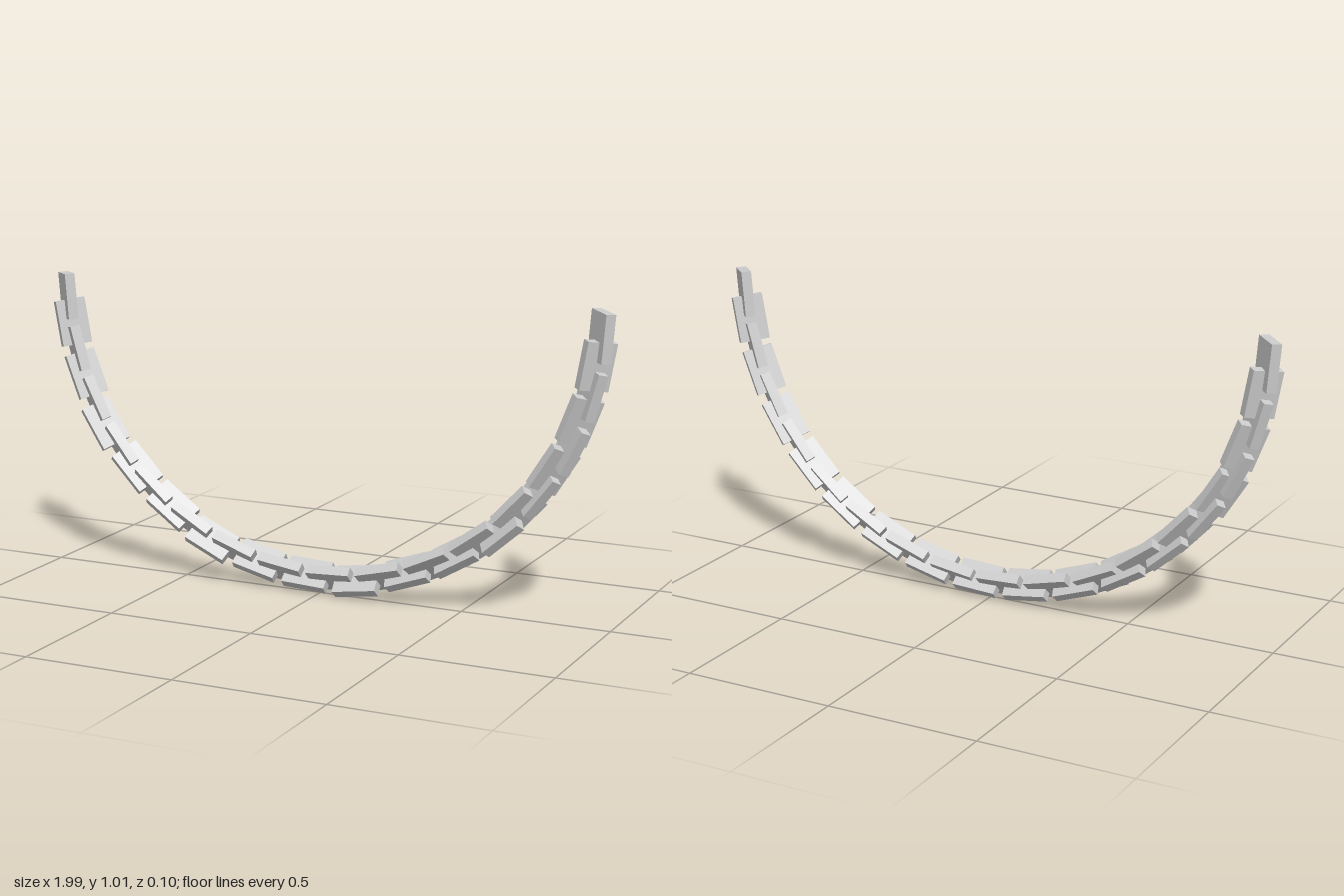
import * as THREE from 'three';

// Half-ring chain of flat plates, each turned a quarter turn from its neighbour
export function createModel() {
  const group = new THREE.Group();
  group.name = 'hangingChain';

  const COUNT = 32, RADIUS = 0.95, END_ANGLE = Math.PI / 2 - 0.08;
  const LENGTH = 0.154, WIDTH = 0.1, THICKNESS = 0.033, SLIDE = 0.005;
  const outward = new Set([4, 8, 14, 20, 26]); // links that hang slightly outward

  const plate = new THREE.BoxGeometry(LENGTH, WIDTH, THICKNESS);
  const material = new THREE.MeshStandardMaterial({ color: 0xcccccc, flatShading: true });

  for (let i = 0; i < COUNT; i++) {
    const angle = END_ANGLE * (1 - (2 * i) / (COUNT - 1));

    // Holder follows the arc: local x is the tangent, local y points inward
    const link = new THREE.Group();
    link.name = 'chainLink' + (i + 1);
    link.position.set(RADIUS * Math.sin(angle), 1 - RADIUS * Math.cos(angle), 0);
    link.rotation.z = angle;

    // Plate tilted 45 degrees either way about the tangent
    const mesh = new THREE.Mesh(plate, material);
    mesh.name = 'linkPlate';
    mesh.rotation.x = (i % 2 ? 1 : -1) * Math.PI / 4;
    mesh.translateY(outward.has(i) ? -SLIDE : SLIDE);
    link.add(mesh);
    group.add(link);
  }
  return group;
}
